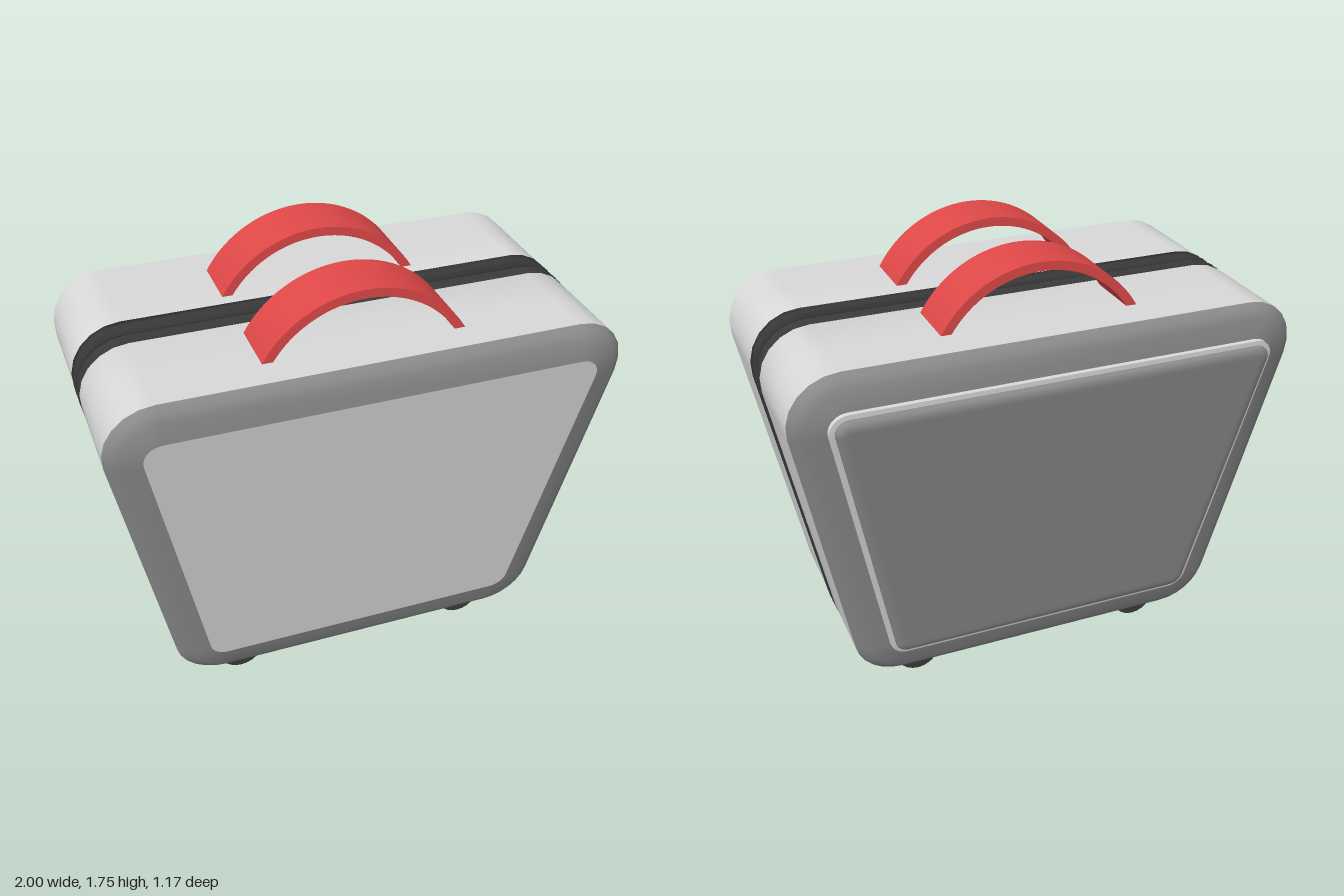
import * as THREE from 'three';
import { toCreasedNormals } from 'three/addons/utils/BufferGeometryUtils.js';

const ZC = 0.02; // depth of the zip plane
const SLANT = 0.204; // lean of the side walls, in radians
const taper = (y) => 0.68 + (0.32 * (y - 0.09)) / 1.44;

// Rounded trapezoid, moved inwards by `inset`, clockwise seen from the front
function outline(inset) {
  const R = 0.2 - inset, N = 6, right = [];
  const corner = (cx, cy, from, to) => {
    for (let i = 0; i <= N; i++) {
      const a = from + ((to - from) * i) / N;
      right.push([cx + R * Math.cos(a), cy + R * Math.sin(a)]);
    }
  };
  corner(0.798, 1.33, Math.PI / 2, -SLANT);
  corner(0.585, 0.29, -SLANT, -Math.PI / 2);
  const left = right.map(([x, y]) => [-x, y]).reverse();
  return right.concat(left);
}

// Skin through rings of [inset, depth]; side is 1 for front, -1 for back
function loft(rings, side = 1, cap = false) {
  const pos = [], idx = [];
  const put = (x, y, depth) => pos.push(x, y, ZC + side * depth * taper(y));
  const tri = (a, b, c) => (side > 0 ? idx.push(a, b, c) : idx.push(a, c, b));
  let n = 0;
  for (const [inset, depth] of rings) {
    const pts = outline(inset);
    n = pts.length;
    pts.forEach(([x, y]) => put(x, y, depth));
  }
  for (let r = 0; r < rings.length - 1; r++) {
    for (let i = 0; i < n; i++) {
      const j = (i + 1) % n, a = r * n, b = a + n;
      tri(a + i, b + i, b + j);
      tri(a + i, b + j, a + j);
    }
  }
  if (cap) {
    const last = (rings.length - 1) * n, mid = rings.length * n;
    put(0, 0.81, rings[rings.length - 1][1]);
    for (let i = 0; i < n; i++) tri(mid, last + ((i + 1) % n), last + i);
  }
  const g = new THREE.BufferGeometry();
  g.setAttribute('position', new THREE.Float32BufferAttribute(pos, 3));
  g.setIndex(idx);
  g.computeVertexNormals();
  return g;
}

// Curved band spanning the top of one half
function handleGeometry() {
  const R = 0.45, r = 0.415, half = 1.11;
  const s = new THREE.Shape();
  s.absarc(0, 0, R, Math.PI / 2 - half, Math.PI / 2 + half, false);
  s.absarc(0, 0, r, Math.PI / 2 + half, Math.PI / 2 - half, true);
  const g = new THREE.ExtrudeGeometry(s, { depth: 0.23, bevelEnabled: false, curveSegments: 28 });
  g.translate(0, 1.755 - R, -0.115);
  return toCreasedNormals(g, 0.6);
}

export function createModel() {
  const model = new THREE.Group();
  model.name = 'suitcase';
  const material = (name, color) => {
    const m = new THREE.MeshStandardMaterial({ color });
    m.name = name;
    return m;
  };
  const light = material('lightGrey', 0xd8d8d8);
  const grey = material('midGrey', 0x8a8a8a);
  const dark = material('charcoal', 0x3a3a3a);
  const red = material('red', 0xe04848);
  const add = (name, geometry, mat) => {
    const m = new THREE.Mesh(geometry, mat);
    m.name = name;
    model.add(m);
    return m;
  };

  const handle = handleGeometry();
  const foot = toCreasedNormals(new THREE.CylinderGeometry(0.09, 0.09, 0.15, 24).rotateX(Math.PI / 2), 0.6);

  for (const side of [1, -1]) {
    const p = side > 0 ? 'front' : 'back';
    // Shell wall, with a small lip turned in at the zip
    add(p + 'Shell', loft([[0.03, 0.08], [0, 0.084], [0, 0.3], [0, 0.508]], side), light);
    // Rounded rim around the face
    add(p + 'Rim', loft([[0, 0.508], [0.018, 0.535], [0.05, 0.56], [0.13, 0.58]], side), grey);
    add(p + 'Panel', loft([[0.13, 0.58]], side, true), light);
    // Raised piping beside the zip
    add(p + 'Piping', loft([[0.04, 0.015], [0, 0.017], [-0.003, 0.035], [0.003, 0.055], [-0.002, 0.076], [0.03, 0.082]], side), dark);
    // Handle and two feet
    add(p + 'Handle', handle, red).position.z = side > 0 ? 0.288 : -0.228;
    for (const x of [-0.5, 0.5]) {
      add(p + 'Foot', foot, dark).position.set(x, 0.09, side > 0 ? 0.235 : -0.182);
    }
  }

  // Recessed zip strip between the pipings
  add('zipStrip', loft([[0.025, -0.02], [0.025, 0.02]]), grey);

  // Back pocket: pale edge and dark padded cover
  add('pocketEdgeWall', loft([[0.128, 0.575], [0.13, 0.598]], -1), light);
  add('pocketEdge', loft([[0.13, 0.598], [0.155, 0.602]], -1), light);
  add('pocketCover', loft([[0.148, 0.598], [0.15, 0.615], [0.16, 0.627], [0.178, 0.632], [0.195, 0.632]], -1, true), grey);
  return model;
}
